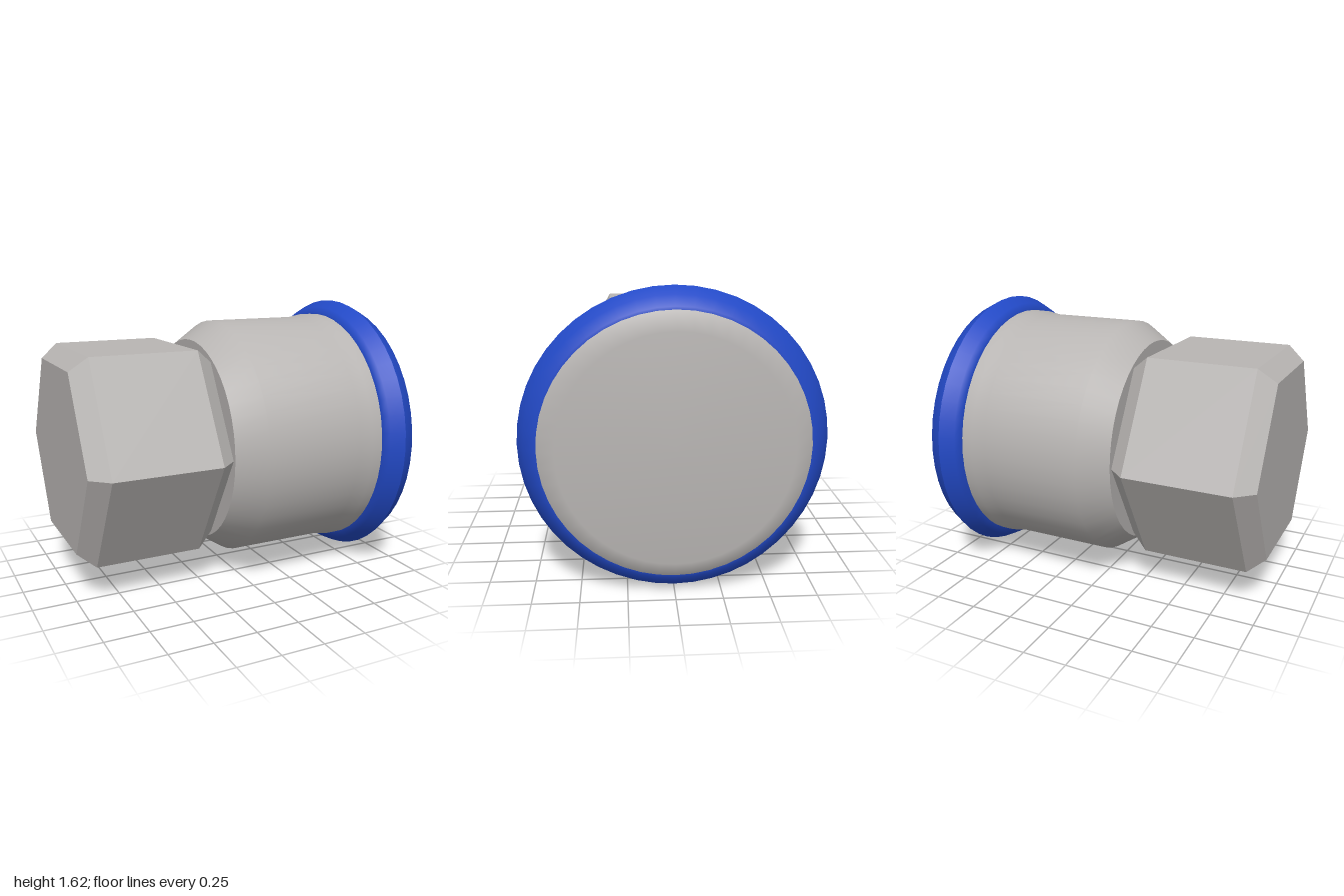
import * as THREE from 'three';

const AXIS_Y = 0.808;

// Turns [x, radius] points round the horizontal x axis; points run from -x to +x.
function turned(name, profile, sides, material) {
  const points = profile.map(([x, r]) => new THREE.Vector2(r, x));
  const geometry = new THREE.LatheGeometry(points, sides);
  geometry.rotateZ(-Math.PI / 2);
  const mesh = new THREE.Mesh(geometry, material);
  mesh.name = name;
  return mesh;
}

// Six-sided solid with flat faces
function hexagonal(name, profile, material) {
  const mesh = turned(name, profile, 6, material);
  mesh.geometry = mesh.geometry.toNonIndexed();
  mesh.geometry.computeVertexNormals();
  return mesh;
}

export function createModel() {
  const metal = new THREE.MeshStandardMaterial({ color: 0xb8b5b3 });
  metal.name = 'grey metal';
  const blue = new THREE.MeshStandardMaterial({ color: 0x2249c6 });
  blue.name = 'blue ring';

  const model = new THREE.Group();
  model.name = 'pipeFitting';
  const parts = new THREE.Group();
  parts.name = 'fitting';
  parts.position.y = AXIS_Y;
  model.add(parts);

  // Hexagon nut with chamfered ends, flats at top and bottom
  parts.add(hexagonal('hexNut', [
    [-1, 0], [-1, 0.585], [-0.9, 0.676], [-0.28, 0.676], [-0.18, 0.585], [-0.18, 0],
  ], metal));

  // Round socket: flat back shoulder, smooth barrel, softly rounded closed end
  parts.add(turned('socketShoulder', [[-0.18, 0], [-0.18, 0.605]], 48, metal));
  parts.add(turned('socketBarrel', [
    [-0.18, 0.605], [-0.02, 0.71], [0.57, 0.71], [0.65, 0.725], [0.74, 0.725],
  ], 48, metal));
  parts.add(turned('socketEnd', [[0.93, 0.71], [1, 0.605], [1, 0]], 48, metal));

  // Blue collar, with a ridge at its middle
  parts.add(turned('collarBack', [[0.715, 0.715], [0.717, 0.735], [0.74, 0.768], [0.82, 0.808]], 48, blue));
  parts.add(turned('collarFront', [[0.82, 0.808], [0.9, 0.768], [0.935, 0.715], [0.937, 0.695]], 48, blue));

  return model;
}
